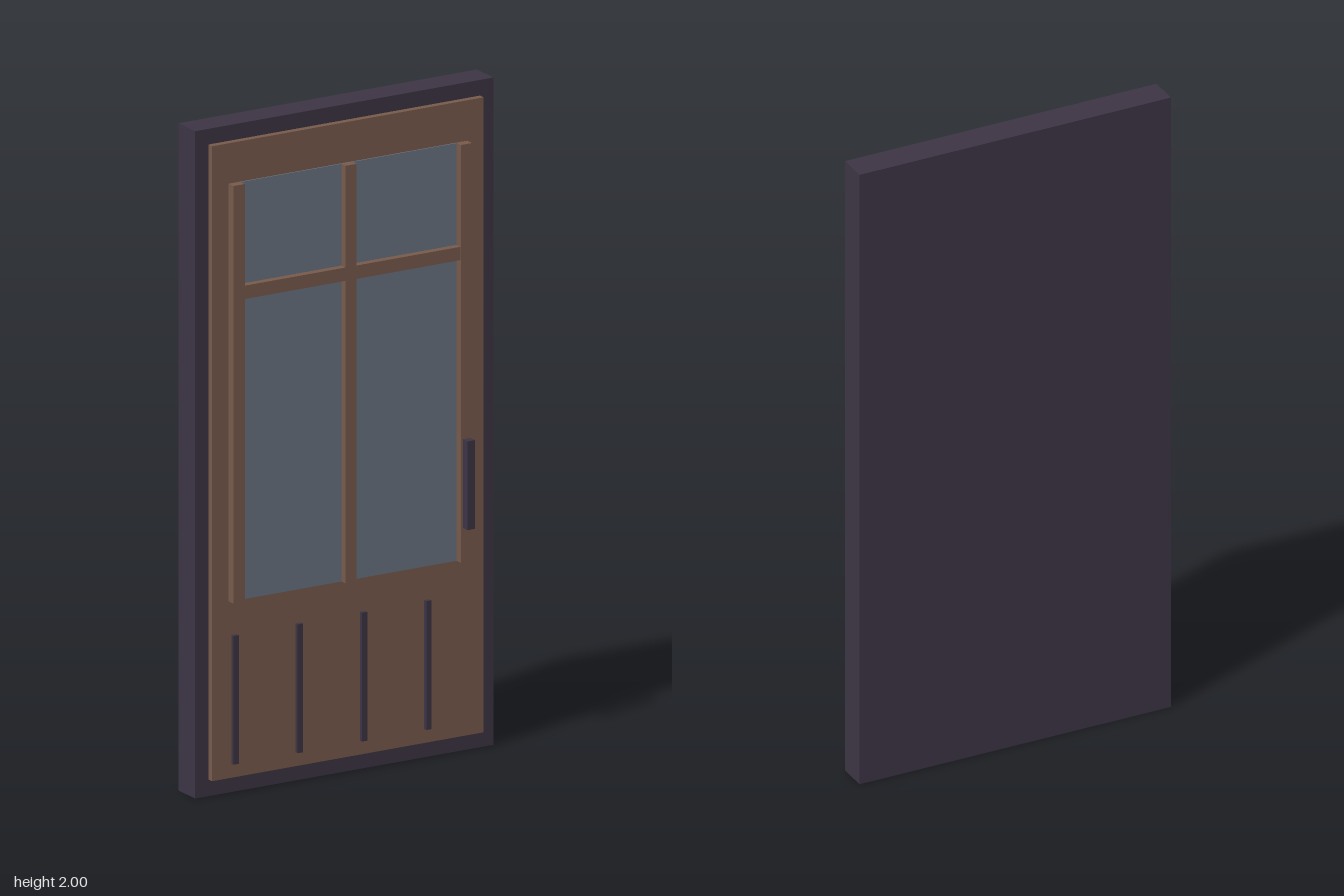
import * as THREE from 'three';

export function createModel() {
  const door = new THREE.Group();
  door.name = 'door';

  const material = (name, color) => {
    const m = new THREE.MeshStandardMaterial({ color });
    m.name = name;
    return m;
  };
  const dark = material('dark frame', 0x3d3545);
  const wood = material('brown wood', 0x785b4c);
  const glass = material('grey glass', 0x6b7482);

  // Box given by its limits on each axis
  const box = (name, mat, [x0, x1], [y0, y1], [z0, z1]) => {
    const mesh = new THREE.Mesh(new THREE.BoxGeometry(x1 - x0, y1 - y0, z1 - z0), mat);
    mesh.position.set((x0 + x1) / 2, (y0 + y1) / 2, (z0 + z1) / 2);
    mesh.name = name;
    door.add(mesh);
  };

  // Backing frame and raised door leaf
  box('frame', dark, [-0.5, 0.5], [0, 2], [-0.1, -0.009]);
  box('leaf', wood, [-0.455, 0.455], [0.05, 1.953], [-0.009, 0.011]);

  // Window pane with its bars
  box('windowPane', glass, [-0.364, 0.362], [0.58, 1.832], [0.011, 0.015]);
  box('leftStile', wood, [0.362, 0.4], [0.58, 1.832], [0.011, 0.038]);
  box('rightStile', wood, [-0.4, -0.362], [0.58, 1.832], [0.011, 0.038]);
  box('middleBar', wood, [-0.024, 0.013], [0.58, 1.832], [0.011, 0.038]);
  box('crossBarRight', wood, [-0.362, -0.024], [1.487, 1.527], [0.011, 0.037]);
  box('crossBarLeft', wood, [0.013, 0.362], [1.487, 1.527], [0.011, 0.037]);

  // Upright strips on the lower panel
  for (let i = 0; i < 4; i++) {
    const x = -0.382 + i * 0.2155;
    box('lowerStrip', dark, [x - 0.009, x + 0.009], [0.092, 0.478], [0.011, 0.023]);
  }

  // Pull handle standing clear of the leaf
  box('handle', dark, [0.348, 0.373], [0.696, 0.962], [0.073, 0.098]);

  return door;
}
